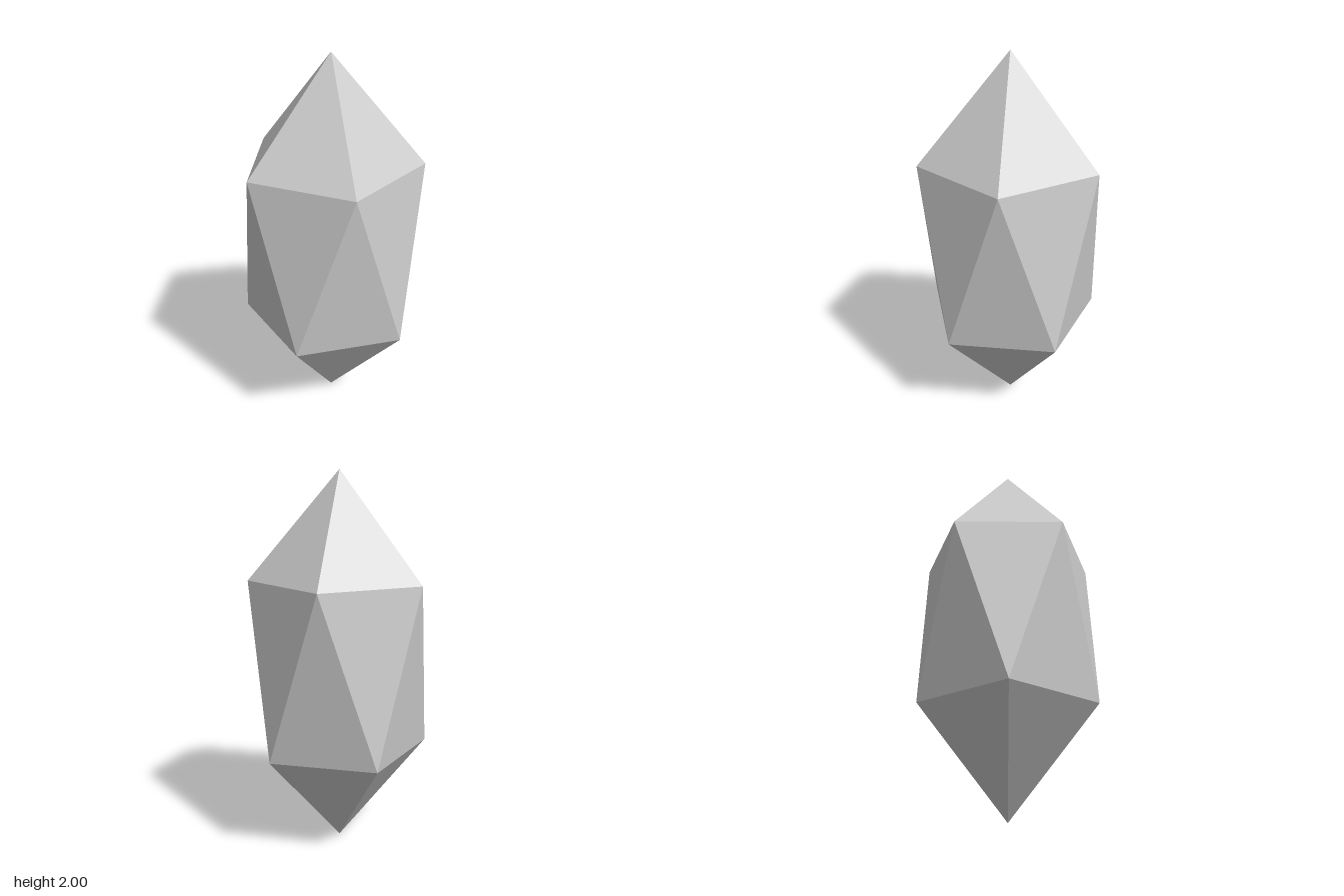
import * as THREE from 'three';

// Ring of five corners around the y axis
function ring(radius, y, turn) {
  return Array.from({ length: 5 }, (_, i) => {
    const a = ((i + turn) * Math.PI * 2) / 5;
    return new THREE.Vector3(radius * Math.cos(a), y, radius * Math.sin(a));
  });
}

export function createModel() {
  const group = new THREE.Group();
  group.name = 'crystal';

  // Two staggered five-sided rings between a top and a bottom point
  const radius = 0.472;
  const top = new THREE.Vector3(0, 2, 0);
  const bottom = new THREE.Vector3(0, 0, 0);
  const upper = ring(radius, 1.447, 0);
  const lower = ring(radius, 0.553, 0.5);

  const corners = [];
  for (let i = 0; i < 5; i++) {
    const j = (i + 1) % 5;
    corners.push(top, upper[j], upper[i]); // crown facet
    corners.push(upper[i], upper[j], lower[i]); // waist facet, pointing down
    corners.push(lower[i], upper[j], lower[j]); // waist facet, pointing up
    corners.push(bottom, lower[i], lower[j]); // base facet
  }

  const geometry = new THREE.BufferGeometry().setFromPoints(corners);
  geometry.computeVertexNormals();

  const gem = new THREE.Mesh(
    geometry,
    new THREE.MeshStandardMaterial({ color: 0xcccccc, flatShading: true })
  );
  gem.name = 'crystalBody';
  group.add(gem);
  return group;
}
